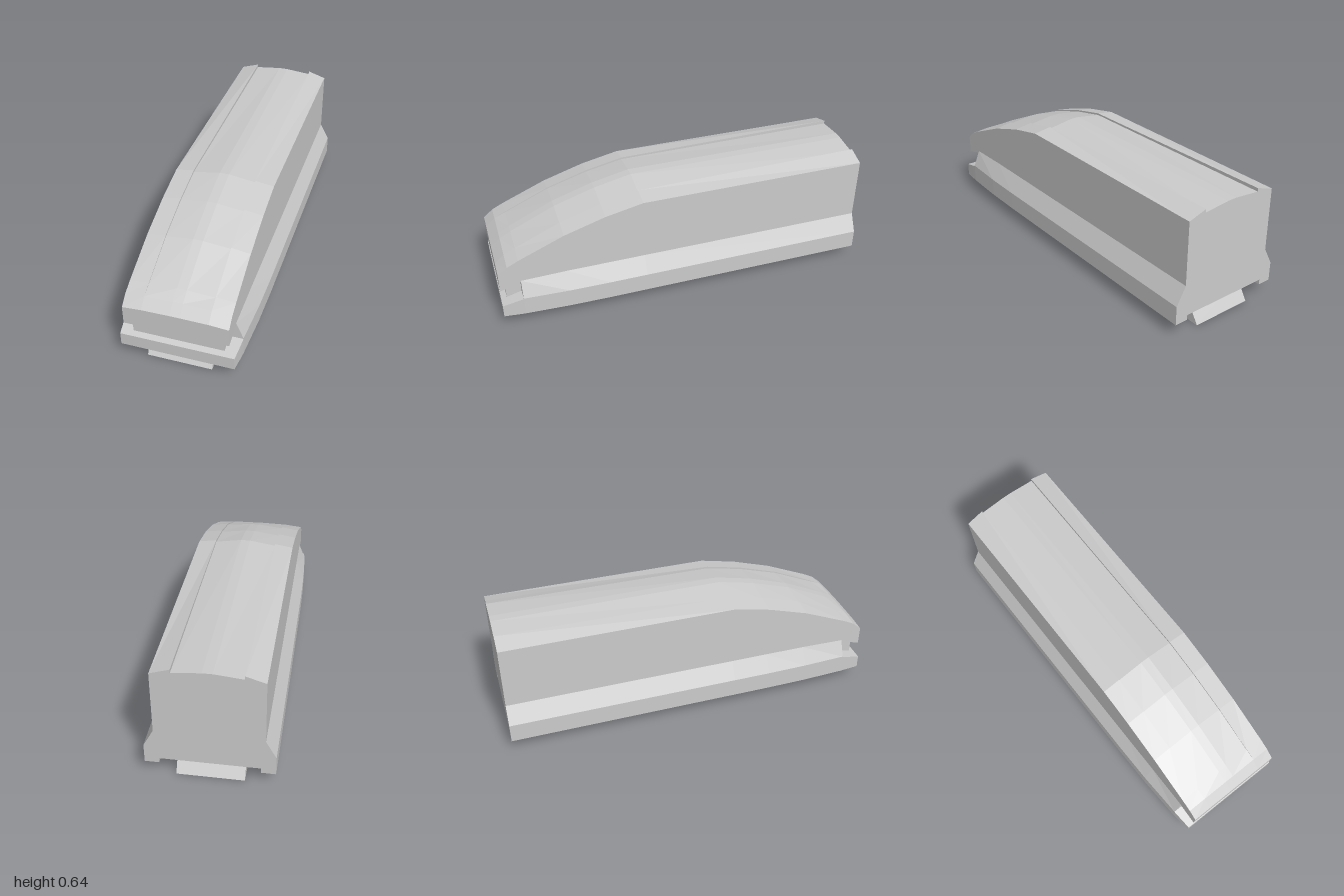
import * as THREE from 'three';

const material = new THREE.MeshStandardMaterial({ color: 0xcccccc, flatShading: true });

// Closed solid through cross-sections [z, right half outline from bottom to top], mirrored in x.
function loft(sections) {
  const rings = sections.map(([, half]) => [
    ...half, ...half.map(([x, y]) => [-x, y]).reverse(),
  ]);
  const n = rings[0].length;
  const positions = [];
  const index = [];
  rings.forEach((ring, k) => ring.forEach(([x, y]) => positions.push(x, y, sections[k][0])));
  for (let k = 0; k < rings.length - 1; k++) {
    for (let i = 0; i < n; i++) {
      const a = k * n + i, b = k * n + (i + 1) % n;
      index.push(a, b, b + n, a, b + n, a + n);
    }
  }
  // End caps
  const cap = (k, flip) => {
    const contour = rings[k].map(([x, y]) => new THREE.Vector2(x, y));
    for (const [a, b, c] of THREE.ShapeUtils.triangulateShape(contour, [])) {
      index.push(k * n + a, k * n + (flip ? c : b), k * n + (flip ? b : c));
    }
  };
  cap(0, true);
  cap(rings.length - 1, false);
  const geometry = new THREE.BufferGeometry();
  geometry.setAttribute('position', new THREE.Float32BufferAttribute(positions, 3));
  geometry.setIndex(index);
  const flat = geometry.toNonIndexed();
  flat.computeVertexNormals();
  return flat;
}

// Roof outline: outer edge, rim top, sunken panel edge, crown
const roof = (edge, rim, panel, crown) => [
  [0.265, edge], [0.167, rim], [0.167, panel], [0.025, crown],
];
const channel = [[0.245, 0.1], [0.245, 0.073]];

export function createModel() {
  const group = new THREE.Group();
  const add = (name, geometry) => {
    const mesh = new THREE.Mesh(geometry, material);
    mesh.name = name;
    group.add(mesh);
    return mesh;
  };

  // Main hull with flared skirt, sunken roof panel and channel underneath
  const noseRoof = roof(0.396, 0.405, 0.401, 0.41);
  const hull = (z, width, shoulder, top) => [z, [
    ...channel, [width, 0.073], [width, 0.175], [0.265, shoulder], ...top,
  ]];
  add('hull', loft([
    hull(-1, 0.316, 0.27, roof(0.607, 0.638, 0.62, 0.634)),
    hull(0.23, 0.316, 0.27, roof(0.607, 0.622, 0.612, 0.634)),
    hull(0.43, 0.316, 0.27, roof(0.565, 0.58, 0.571, 0.59)),
    hull(0.65, 0.313, 0.27, roof(0.497, 0.512, 0.505, 0.52)),
    hull(0.89, 0.302, 0.265, noseRoof),
  ]));

  // Overhanging upper nose, where the roof panel ends flush
  add('upperNose', loft([
    [0.89, [[0.265, 0.257], ...noseRoof]],
    [0.95, [[0.265, 0.238], ...roof(0.366, 0.376, 0.376, 0.378)]],
    [1, [[0.265, 0.222], ...roof(0.323, 0.33, 0.33, 0.332)]],
  ]));

  // Recessed core between the upper nose and the lip
  add('noseCore', new THREE.BoxGeometry(0.464, 0.135, 0.1)).position.set(0, 0.1875, 0.92);

  // Lower lip: channelled rear part and solid front part
  const lip = (z, width, top, under) => [z, [...under, [width, 0.073], [width, top]]];
  add('lowerLipRear', loft([lip(0.89, 0.302, 0.172, channel), lip(0.93, 0.298, 0.161, channel)]));
  add('lowerLipFront', loft([lip(0.93, 0.298, 0.161, []), lip(1, 0.29, 0.142, [])]));

  // Base runner with undercut ends
  const side = new THREE.Shape([[-0.99, 0], [0.97, 0], [0.905, 0.105], [-0.925, 0.105]]
    .map(([z, y]) => new THREE.Vector2(z, y)));
  const runner = new THREE.ExtrudeGeometry(side, { depth: 0.334, bevelEnabled: false });
  runner.translate(0, 0, -0.167).rotateY(-Math.PI / 2);
  add('baseRunner', runner);

  return group;
}
